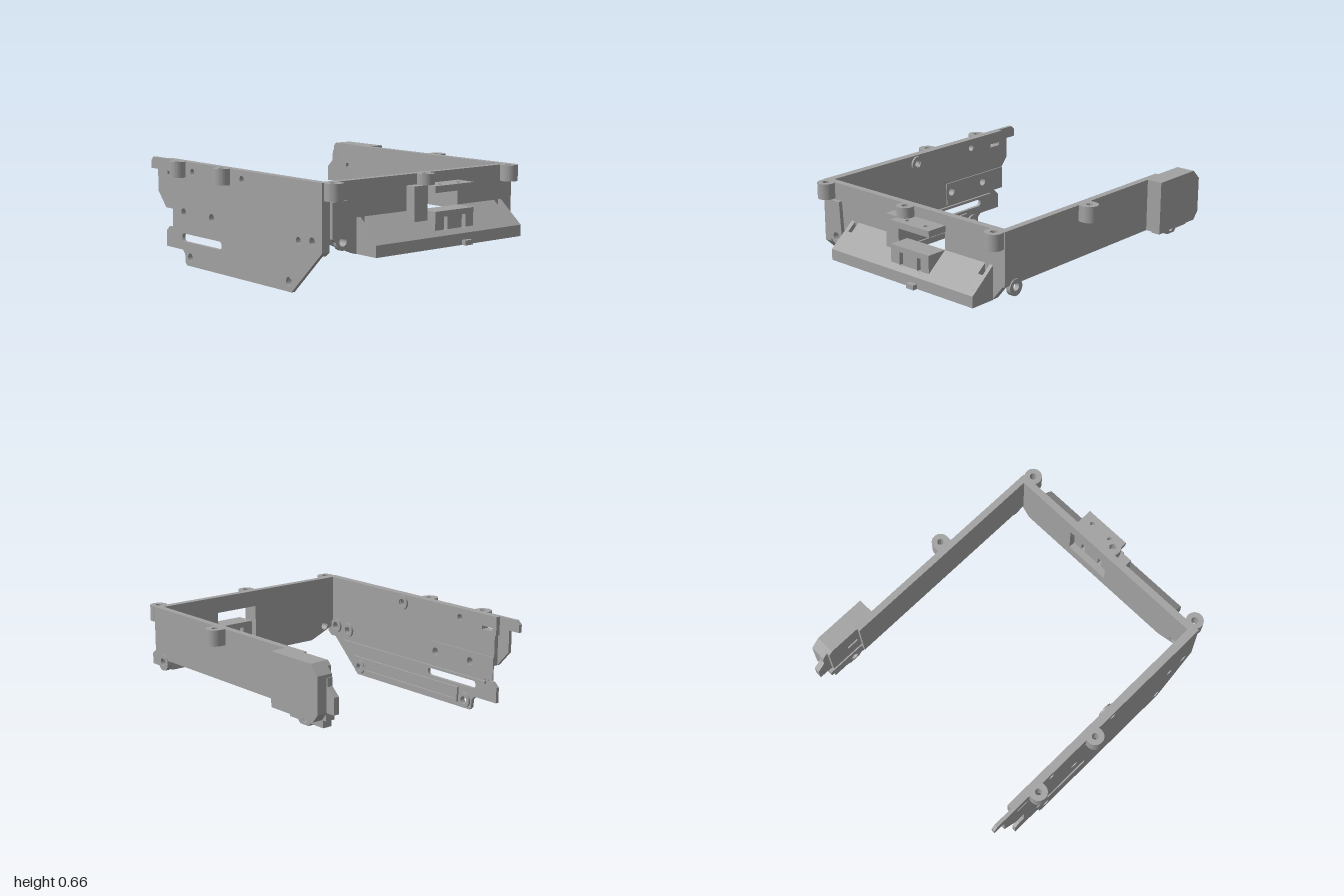
import * as THREE from 'three';
import { toCreasedNormals } from 'three/addons/utils/BufferGeometryUtils.js';

const plastic = new THREE.MeshStandardMaterial({ color: 0xa2a2a2 });
plastic.name = 'grey plastic';

// Hole outlines: round, and rectangular or round-ended slot
function circle(x, y, r) {
  return new THREE.Path().absarc(x, y, r, 0, Math.PI * 2, false);
}
function rect(x0, y0, x1, y1) {
  return new THREE.Path([[x0, y0], [x1, y0], [x1, y1], [x0, y1]].map(p => new THREE.Vector2(...p)));
}
function slot(x0, x1, y, r) {
  const p = new THREE.Path();
  p.absarc(x1 - r, y, r, -Math.PI / 2, Math.PI / 2, false);
  p.absarc(x0 + r, y, r, Math.PI / 2, Math.PI * 1.5, false);
  p.closePath();
  return p;
}
function poly(pts) {
  return new THREE.Shape(pts.map(p => new THREE.Vector2(p[0], p[1])));
}
function disc(x, y, r) {
  return new THREE.Shape().absarc(x, y, r, 0, Math.PI * 2, false);
}

export function createModel() {
  const model = new THREE.Group();
  model.name = 'bracketFrame';

  function add(name, geometry) {
    const mesh = new THREE.Mesh(geometry, plastic);
    mesh.name = name;
    model.add(mesh);
  }
  // Extrude a shape from a to b along an axis: z uses (x, y), x uses (z, y), y uses (x, -z)
  function extrude(name, axis, shape, holes, a, b) {
    shape.holes.push(...holes);
    let g = new THREE.ExtrudeGeometry(shape, { depth: b - a, bevelEnabled: false, curveSegments: 20 });
    if (axis === 'z') g.translate(0, 0, a);
    if (axis === 'x') g.rotateY(-Math.PI / 2).translate(b, 0, 0);
    if (axis === 'y') g.rotateX(-Math.PI / 2).translate(0, a, 0);
    add(name, toCreasedNormals(g, 0.6));
  }
  function box(name, x0, x1, y0, y1, z0, z1) {
    const g = new THREE.BoxGeometry(x1 - x0, y1 - y0, z1 - z0);
    add(name, g.translate((x0 + x1) / 2, (y0 + y1) / 2, (z0 + z1) / 2));
  }

  // Front side plate: thin outer sheet with a thicker upper half behind it
  const upperHoles = () => [
    circle(-0.28, 0.335, 0.026), circle(-0.59, 0.335, 0.026), circle(0.04, 0.605, 0.022),
    circle(-0.485, 0.6, 0.022), circle(0.585, 0.31, 0.022), circle(0.71, 0.32, 0.025),
    rect(-0.77, 0.562, -0.68, 0.584)];
  extrude('frontPlate', 'z', poly([
    [-0.935, 0.66], [-0.96, 0.635], [-0.96, 0.585], [-0.88, 0.585], [-0.88, 0.445], [-0.79, 0.345],
    [-0.715, 0.345], [-0.715, 0.227], [-0.755, 0.227], [-0.79, 0.195], [-0.79, 0.095], [-0.605, 0.095],
    [-0.58, 0.07], [-0.575, 0.015], [-0.56, 0], [0.52, 0], [0.8, 0.265], [0.8, 0.66]]),
  [...upperHoles(), circle(-0.52, 0.056, 0.026), circle(0.495, 0.06, 0.026), slot(-0.61, -0.175, 0.175, 0.026)],
  0.742, 0.765);
  extrude('frontPlateThickening', 'z', poly([
    [-0.79, 0.54], [-0.79, 0.345], [-0.715, 0.345], [-0.715, 0.24], [0.77, 0.24], [0.8, 0.265],
    [0.8, 0.66], [-0.8, 0.66], [-0.8, 0.54]]), upperHoles(), 0.712, 0.742);
  extrude('innerPad', 'z', poly([[-0.79, 0.25], [-0.235, 0.25], [-0.235, 0.4], [-0.79, 0.4]]),
    [circle(-0.28, 0.335, 0.026), circle(-0.59, 0.335, 0.026)], 0.704, 0.712);

  // Ribs and hole collars on the inner face
  extrude('lowerRibFrame', 'z', poly([[-0.46, 0.03], [0.43, 0.03], [0.55, 0.13], [-0.46, 0.13]]),
    [poly([[-0.44, 0.048], [0.42, 0.048], [0.5, 0.112], [-0.44, 0.112]])], 0.728, 0.742);
  box('longRib', -0.7, 0.66, 0.205, 0.222, 0.728, 0.742);
  for (const [x, y, z] of [[-0.52, 0.056, 0.742], [0.495, 0.06, 0.742], [0.04, 0.605, 0.712],
    [0.585, 0.31, 0.712], [0.71, 0.32, 0.712]]) {
    extrude('holeCollar', 'z', disc(x, y, 0.048), [circle(x, y, 0.025)], z - 0.014, z);
  }

  // End wall with the connector window
  extrude('endWall', 'x', poly([
    [0.742, 0.66], [0.742, 0.325], [0.69, 0.305], [0.52, 0.235], [-0.65, 0.235], [-0.74, 0.345], [-0.74, 0.66]]),
  [rect(-0.28, 0.33, 0.03, 0.555), circle(0.635, 0.32, 0.026)], 0.755, 0.8);

  // Screw tab on the outside of the end wall
  const tab = new THREE.Shape();
  tab.absarc(0.635, 0.32, 0.05, Math.PI, Math.PI * 2, false);
  tab.lineTo(0.71, 0.34);
  tab.lineTo(0.71, 0.55);
  tab.lineTo(0.6, 0.55);
  tab.closePath();
  extrude('endScrewTab', 'x', tab, [circle(0.635, 0.32, 0.026)], 0.8, 0.825);

  // Sloping shelf, split along z so the slots and notches pass through it
  const full = [[0.8, 0.445], [0.8, 0.235], [0.97, 0.235], [0.97, 0.305]];
  const slotted = [[0.86, 0.396], [0.86, 0.235], [0.97, 0.235], [0.97, 0.305]];
  const notched = [[0.8, 0.33], [0.8, 0.235], [0.97, 0.235], [0.97, 0.305], [0.94, 0.33]];
  const cuts = [-0.655, -0.63, -0.595, -0.215, -0.185, -0.07, -0.04, 0.455, 0.485, 0.515];
  const profiles = [full, slotted, full, notched, full, notched, full, slotted, full];
  profiles.forEach((p, i) => extrude('slopedShelf', 'z', poly(p), [], cuts[i], cuts[i + 1]));
  box('shelfNub', 0.97, 1, 0.235, 0.265, -0.215, -0.155);

  // Connector bracket around the window
  extrude('bracketTop', 'y', poly([[0.8, -0.03], [0.935, -0.03], [0.935, 0.285], [0.8, 0.285]]),
    [circle(0.88, 0.21, 0.015), circle(0.88, 0.06, 0.015)], 0.555, 0.595);
  extrude('bracketBase', 'x', poly([
    [-0.28, 0.445], [-0.28, 0.33], [-0.215, 0.33], [-0.215, 0.41], [-0.185, 0.41], [-0.185, 0.33],
    [-0.07, 0.33], [-0.07, 0.41], [-0.04, 0.41], [-0.04, 0.33], [0.03, 0.33], [0.03, 0.445]]), [], 0.8, 0.935);
  box('bracketSide', 0.8, 0.87, 0.38, 0.595, 0.03, 0.135);

  // Back side wall and its end block
  extrude('backWall', 'z', poly([[-0.67, 0.33], [0.8, 0.33], [0.8, 0.66], [-0.67, 0.66]]),
    [circle(0.71, 0.32, 0.025)].slice(1), -0.743, -0.7);
  extrude('backBlock', 'z', poly([
    [-0.53, 0.33], [-0.53, 0.66], [-0.88, 0.66], [-0.94, 0.6], [-0.94, 0.38], [-0.9, 0.33]]), [], -0.845, -0.743);
  extrude('backBlockLiner', 'z', poly([[-0.905, 0.4], [-0.67, 0.4], [-0.67, 0.66], [-0.88, 0.66], [-0.905, 0.635]]),
    [rect(-0.77, 0.5, -0.69, 0.525)], -0.743, -0.72);
  extrude('backEndTongue', 'z', poly([
    [-0.9, 0.58], [-0.945, 0.58], [-0.945, 0.53], [-1, 0.48], [-1, 0.38], [-0.9, 0.38]]), [], -0.78, -0.743);
  extrude('backLowerTab', 'z', poly([
    [-0.935, 0.375], [-0.935, 0.33], [-0.91, 0.33], [-0.91, 0.285], [-0.8, 0.285], [-0.78, 0.265],
    [-0.71, 0.265], [-0.69, 0.285], [-0.62, 0.285], [-0.62, 0.375]]), [circle(-0.745, 0.305, 0.027)], -0.78, -0.72);
  extrude('backScrewLug', 'z', disc(0.71, 0.31, 0.052), [circle(0.71, 0.315, 0.025)], -0.75, -0.72);

  // Vertical screw bosses: [x, z, direction away from the wall]
  for (const [x, z, out] of [[-0.615, 0.785, 1], [-0.135, 0.785, 1], [0.095, -0.78, -1]]) {
    const s = new THREE.Shape();
    const start = out > 0 ? Math.PI : 0;
    const wall = out > 0 ? -0.76 : 0.74;
    s.absarc(x, -z, 0.055, start, start + Math.PI, false);
    s.lineTo(x + out * 0.055, wall);
    s.lineTo(x - out * 0.055, wall);
    s.closePath();
    extrude('sideBoss', 'y', s, [circle(x, -z, 0.02)], 0.56, 0.66);
  }
  for (const z of [-0.69, 0.705]) {
    extrude('cornerBoss', 'y', disc(0.83, -z, 0.055), [circle(0.83, -z, 0.022)], 0.56, 0.66);
  }
  extrude('bracketBoss', 'y', disc(0.83, -0.01, 0.053), [circle(0.83, -0.01, 0.022)], 0.595, 0.66);

  return model;
}
